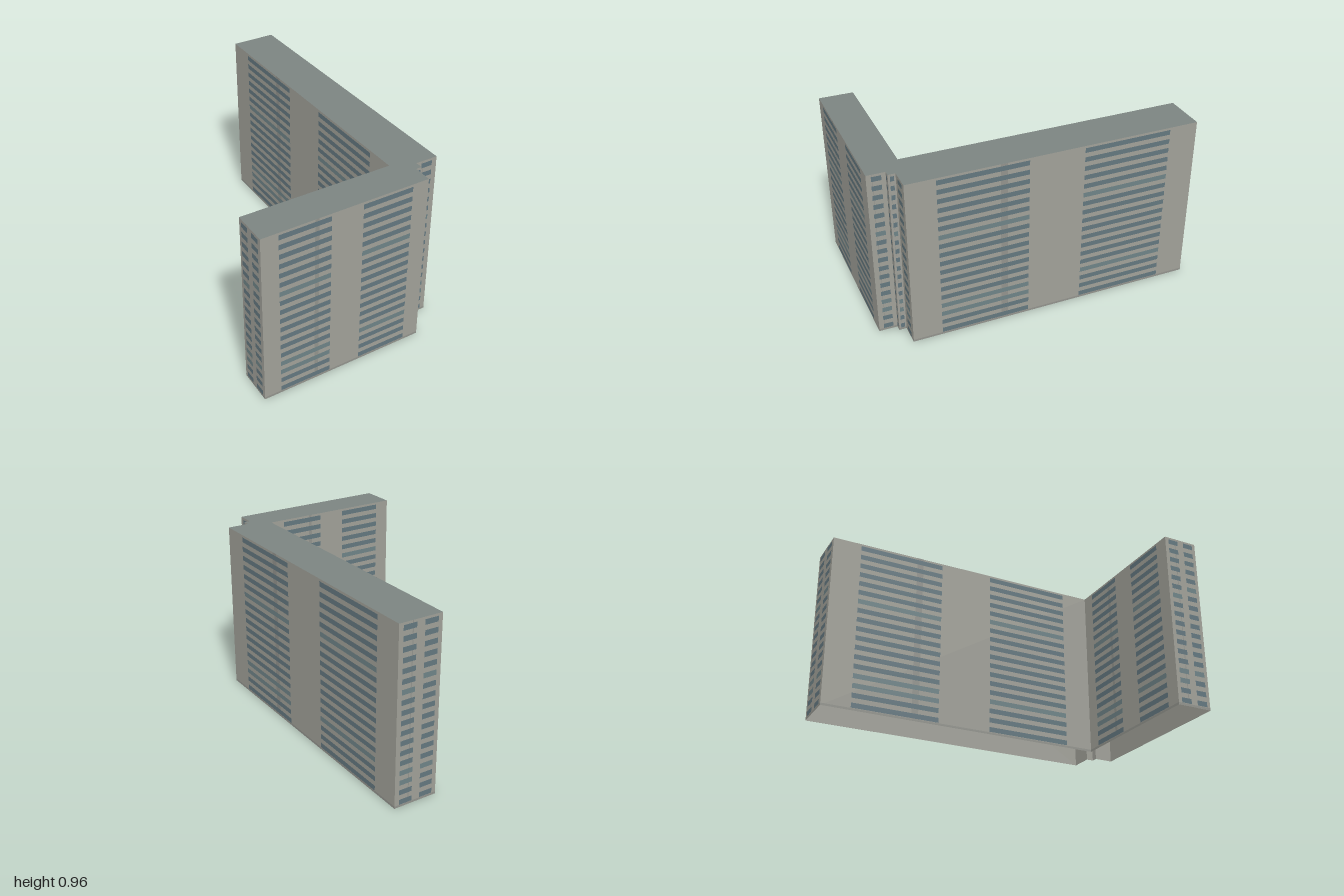
import * as THREE from 'three';
import { mergeGeometries } from 'three/addons/utils/BufferGeometryUtils.js';

const HEIGHT = 0.963, FLOORS = 18, STOREY = HEIGHT / FLOORS;

// Footprint corners (x, z), listed left to right as seen from outside
const FOOTPRINT = [
  [-0.458, 1.0], [0.407, 0.729], [0.378, 0.633], [0.409, 0.623], [0.396, 0.585],
  [0.512, 0.549], [0.03, -1.0], [-0.203, -0.928], [0.262, 0.574], [-0.514, 0.816],
];

const material = (color) => new THREE.MeshStandardMaterial({ color, side: THREE.DoubleSide });
const wallMat = material(0xa0a098);
const roofMat = material(0x7c8481);
const windowMat = material(0x63777f);
const paleWindowMat = material(0x6e8387);
const stainMat = material(0x92938d);

// Upright rectangle in a wall's local frame
function rect(x0, x1, y0, y1, z) {
  return new THREE.PlaneGeometry(x1 - x0, y1 - y0).translate((x0 + x1) / 2, (y0 + y1) / 2, z);
}

function mesh(name, geometry, mat) {
  const m = new THREE.Mesh(geometry, mat);
  m.name = name;
  return m;
}

function createWall(p, q) {
  const dx = q[0] - p[0], dz = q[1] - p[1];
  const length = Math.hypot(dx, dz);
  const wall = new THREE.Group();
  wall.name = 'facade';
  wall.position.set(p[0], 0, p[1]);
  wall.rotation.y = Math.atan2(-dz, dx);
  wall.add(mesh('wall', rect(0, length, 0, HEIGHT, 0), wallMat));

  // Long walls carry two window bands, narrow returns only one
  const bands = length > 0.15 ? [[0.1, 0.405], [0.595, 0.9]] : [[0.25, 0.77]];
  const paleFloors = [[2, 3, 11], [3, 12]];
  const dark = [], pale = [];
  bands.forEach(([a, b], i) => {
    for (let f = 0; f < FLOORS; f++) {
      const y = f * STOREY;
      const strip = rect(a * length, b * length, y + 0.256 * STOREY, y + 0.77 * STOREY, 0.0015);
      (paleFloors[i].includes(f) ? pale : dark).push(strip);
    }
  });
  wall.add(mesh('windows', mergeGeometries(dark), windowMat));
  wall.add(mesh('paleWindows', mergeGeometries(pale), paleWindowMat));

  // Faint vertical joint and base course
  wall.add(mesh('jointAndBase', mergeGeometries([
    rect(0.308 * length, 0.332 * length, 0.012, HEIGHT, 0.0007),
    rect(0, length, 0, 0.012, 0.0007),
  ]), stainMat));
  return wall;
}

export function createModel() {
  const building = new THREE.Group();
  building.name = 'building';

  FOOTPRINT.forEach((p, i) => building.add(createWall(p, FOOTPRINT[(i + 1) % FOOTPRINT.length])));

  // Flat roof over the whole footprint; the underside stays open
  const outline = new THREE.Shape(FOOTPRINT.map(([x, z]) => new THREE.Vector2(x, -z)));
  const roof = new THREE.ShapeGeometry(outline).rotateX(-Math.PI / 2).translate(0, HEIGHT, 0);
  building.add(mesh('roof', roof, roofMat));

  return building;
}
